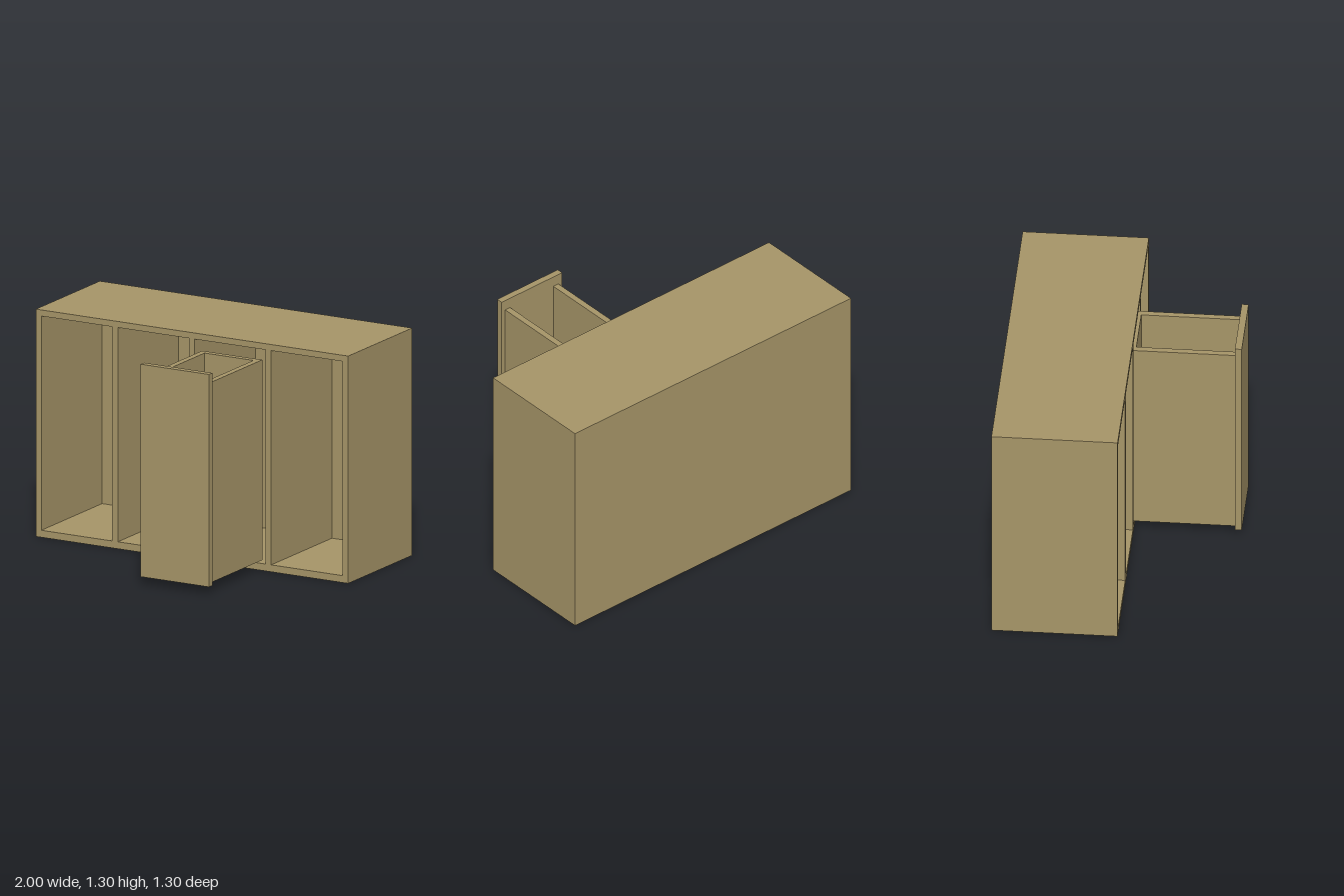
import * as THREE from 'three';

const material = new THREE.MeshStandardMaterial({ color: 0xa69568 });

// Box given by its minimum and maximum along each axis
function board(name, [x0, x1], [y0, y1], [z0, z1]) {
  const mesh = new THREE.Mesh(new THREE.BoxGeometry(x1 - x0, y1 - y0, z1 - z0), material);
  mesh.name = name;
  mesh.position.set((x0 + x1) / 2, (y0 + y1) / 2, (z0 + z1) / 2);
  return mesh;
}

function createCabinet() {
  const cabinet = new THREE.Group();
  cabinet.name = 'cabinet';
  const back = -0.65, front = 0.05, t = 0.035;

  // Carcass front with four tall openings, extruded through the depth
  const face = new THREE.Shape();
  face.moveTo(-1, 0).lineTo(1, 0).lineTo(1, 1.3).lineTo(-1, 1.3).closePath();
  for (const [x0, x1] of [[-0.965, -0.512], [-0.475, -0.02], [0.017, 0.47], [0.507, 0.965]]) {
    const hole = new THREE.Path();
    hole.moveTo(x0, 0.04).lineTo(x0, 1.265).lineTo(x1, 1.265).lineTo(x1, 0.04).closePath();
    face.holes.push(hole);
  }
  const carcass = new THREE.Mesh(
    new THREE.ExtrudeGeometry(face, { depth: front - back - t, bevelEnabled: false }), material);
  carcass.name = 'carcass';
  carcass.position.z = back + t;

  cabinet.add(carcass, board('backPanel', [-1, 1], [0, 1.3], [back, back + t]));
  return cabinet;
}

function createDrawer() {
  const drawer = new THREE.Group();
  drawer.name = 'pulledOutDrawer';
  const x0 = 0.05, x1 = 0.435, y0 = 0.052, y1 = 1.197, z0 = 0.024, z1 = 0.612, t = 0.036;

  // Open-topped box closed at the front by a wider panel
  drawer.add(
    board('drawerRightSide', [x0, x0 + t], [y0, y1], [z0, z1]),
    board('drawerLeftSide', [x1 - t, x1], [y0, y1], [z0, z1]),
    board('drawerBack', [x0 + t, x1 - t], [y0, y1], [z0, z0 + t]),
    board('drawerBottom', [x0 + t, x1 - t], [y0, y0 + t], [z0 + t, z1]),
    board('drawerFront', [0.022, 0.46], [0.045, 1.26], [z1, 0.65]),
  );
  return drawer;
}

export function createModel() {
  const model = new THREE.Group();
  model.name = 'cabinetWithDrawer';
  model.add(createCabinet(), createDrawer());
  return model;
}
